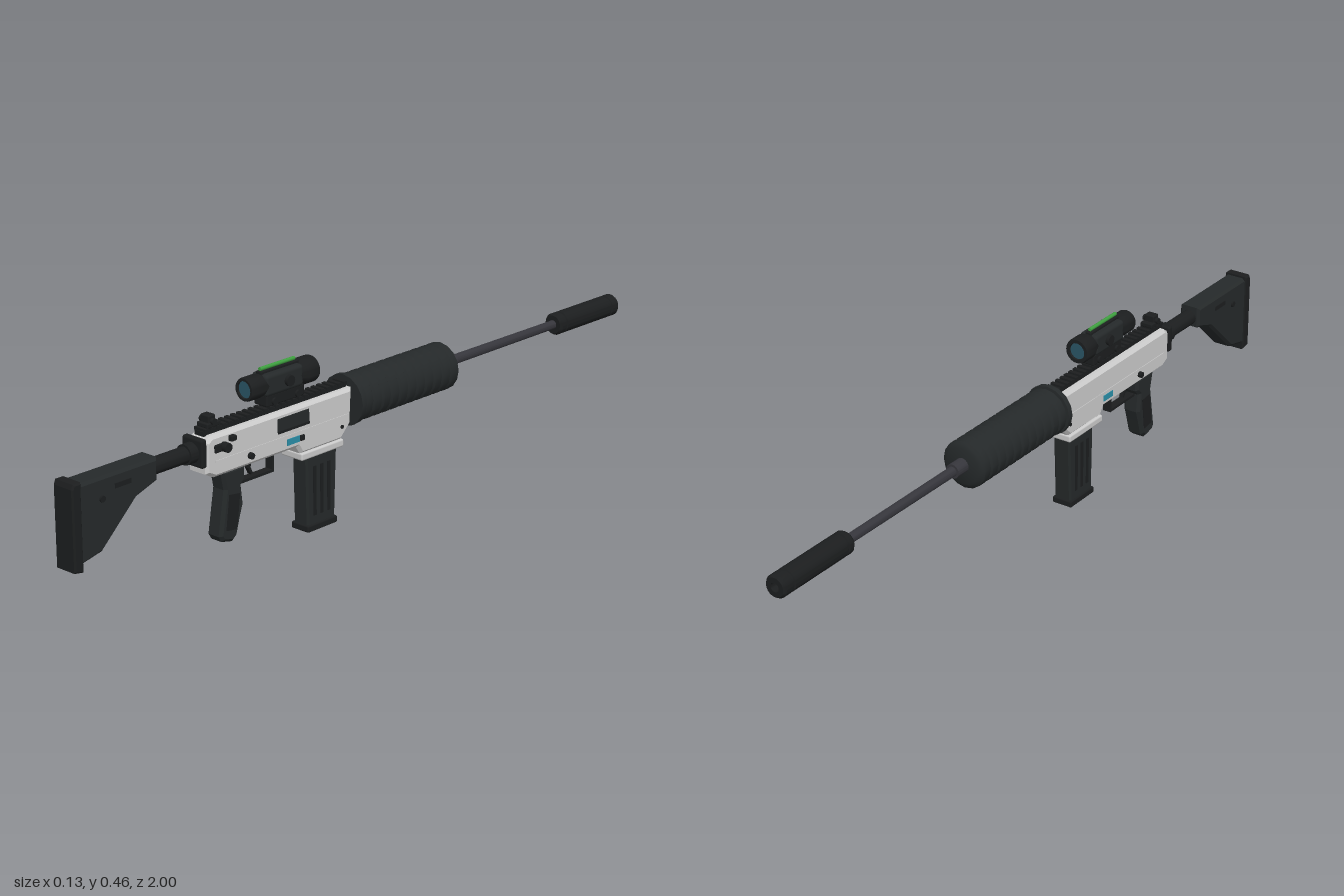
import * as THREE from 'three';
import { toCreasedNormals } from 'three/addons/utils/BufferGeometryUtils.js';
import { RoundedBoxGeometry } from 'three/addons/geometries/RoundedBoxGeometry.js';

const mat = (color) => new THREE.MeshStandardMaterial({ color });
const black = mat(0x1c1e1f), dark = mat(0x25292a), steel = mat(0x36363c);
const grey = mat(0xcccccc), blue = mat(0x2a5566), cyan = mat(0x2a8fa8), green = mat(0x3fa040);
const AXIS = 0.305; // height of the bore

export function createModel() {
  const model = new THREE.Group();

  const add = (name, geometry, material, x = 0, y = 0, z = 0, parent = model) => {
    const mesh = new THREE.Mesh(geometry, material);
    mesh.name = name;
    mesh.position.set(x, y, z);
    parent.add(mesh);
    return mesh;
  };
  const box = (name, w, h, d, material, x, y, z, r = 0) => add(name,
    r ? new RoundedBoxGeometry(w, h, d, 2, r) : new THREE.BoxGeometry(w, h, d), material, x, y, z);

  // Side outline given as [z, y] points, extruded across x
  const slab = (name, points, width, bevel, material) => {
    const shape = new THREE.Shape(points.map(([z, y]) => new THREE.Vector2(z, y)));
    const geo = new THREE.ExtrudeGeometry(shape, {
      depth: width - 2 * bevel, bevelEnabled: bevel > 0, bevelThickness: bevel,
      bevelSize: bevel, bevelOffset: -bevel, bevelSegments: 1,
    });
    geo.translate(0, 0, bevel - width / 2).rotateY(-Math.PI / 2);
    return add(name, geo, material);
  };
  // Turned part along z, given as [radius, z] points from low z to high z
  const turned = (name, points, material, y = AXIS, sides = 20) => {
    const geo = new THREE.LatheGeometry(points.map(([r, z]) => new THREE.Vector2(r, z)), sides);
    geo.rotateX(Math.PI / 2);
    return add(name, toCreasedNormals(geo, 0.6), material, 0, y, 0);
  };
  // Round stub pointing sideways
  const pin = (name, r, length, material, x, y, z) =>
    add(name, new THREE.CylinderGeometry(r, r, length, 12).rotateZ(Math.PI / 2), material, x, y, z);

  // Stock with butt pad
  slab('stock', [[0.735, 0.337], [0.98, 0.337], [0.98, 0.14], [0.91, 0.155], [0.80, 0.258],
    [0.735, 0.28]], 0.06, 0.007, dark);
  slab('buttPad', [[0.972, 0.342], [0.995, 0.342], [1.0, 0.33], [1.0, 0.128], [0.972, 0.123]],
    0.066, 0.004, black);
  for (const s of [-1, 1]) {
    box('stockSlot', 0.004, 0.012, 0.05, black, s * 0.03, 0.305, 0.845);
    pin('stockPin', 0.008, 0.008, black, s * 0.031, 0.285, 0.91);
  }
  turned('bufferTube', [[0, 0.59], [0.021, 0.59], [0.021, 0.74], [0, 0.74]], black);
  turned('bufferCollar', [[0, 0.60], [0.026, 0.60], [0.026, 0.625], [0, 0.625]], black);
  box('endPlate', 0.068, 0.072, 0.018, black, 0, 0.305, 0.59, 0.006);

  // Receiver with magazine well
  slab('receiver', [[0.08, 0.342], [0.565, 0.342], [0.582, 0.33], [0.582, 0.25], [0.555, 0.236],
    [0.275, 0.236], [0.262, 0.215], [0.12, 0.215], [0.085, 0.25]], 0.066, 0.008, grey);
  box('magazineWell', 0.072, 0.02, 0.15, grey, 0, 0.208, 0.19, 0.005);
  for (const s of [-1, 1]) {
    box('receiverSeam', 0.003, 0.004, 0.46, grey, s * 0.033, 0.277, 0.325);
    box('marker', 0.004, 0.016, 0.042, cyan, s * 0.033, 0.26, 0.292);
    pin('selector', 0.008, 0.014, black, s * 0.036, 0.262, 0.44);
    pin('receiverPin', 0.005, 0.005, black, s * 0.033, 0.25, 0.12);
  }
  box('ejectionPort', 0.005, 0.034, 0.108, dark, 0.033, 0.311, 0.292);
  box('portCover', 0.004, 0.006, 0.108, black, 0.036, 0.294, 0.292);
  box('magazineRelease', 0.008, 0.014, 0.014, black, 0.034, 0.26, 0.262, 0.002);
  box('sideLever', 0.008, 0.02, 0.04, black, 0.035, 0.309, 0.538, 0.003);
  pin('leverKnob', 0.012, 0.02, black, 0.042, 0.309, 0.528);
  box('forwardButton', 0.014, 0.014, 0.018, black, 0.039, 0.325, 0.503, 0.003);

  // Toothed top rail
  box('rail', 0.03, 0.012, 0.49, black, 0, 0.346, 0.33);
  for (let i = 0; i < 25; i++) box('railTooth', 0.038, 0.008, 0.011, black, 0, 0.354, 0.092 + i * 0.0198);

  // Folded rear sight
  box('rearSightBase', 0.036, 0.012, 0.045, black, 0, 0.363, 0.542, 0.003);
  box('rearSight', 0.03, 0.022, 0.024, black, 0, 0.376, 0.545, 0.004);
  pin('rearSightKnob', 0.008, 0.046, black, 0, 0.372, 0.545);

  // Ridged handguard
  const ridges = [[0, -0.295], [0.048, -0.295]];
  const count = 11, step = 0.355 / count;
  for (let i = 0; i < count; i++) {
    const z = -0.29 + i * step;
    ridges.push([0.058, z], [0.063, z + 0.005], [0.063, z + step - 0.006], [0.058, z + step - 0.001]);
  }
  ridges.push([0.067, 0.065], [0.067, 0.08], [0, 0.08]);
  turned('handguard', ridges, dark, 0.302, 16);

  // Barrel and muzzle tube
  turned('barrel', [[0, -0.76], [0.012, -0.76], [0.013, -0.335], [0.019, -0.335], [0.019, -0.29], [0, -0.29]], steel);
  turned('muzzleTube', [[0.012, -0.94], [0.012, -1.0], [0.025, -1.0], [0.03, -0.993], [0.03, -0.97],
    [0.027, -0.968], [0.027, -0.963], [0.03, -0.961], [0.03, -0.775], [0.027, -0.773], [0.027, -0.768],
    [0.03, -0.766], [0.03, -0.752], [0.025, -0.745], [0, -0.745]], black);
  add('muzzleBore', new THREE.CircleGeometry(0.012, 16).rotateY(Math.PI), black, 0, AXIS, -0.95);

  // Magazine
  slab('magazine', [[0.238, 0.205], [0.234, 0.012], [0.136, 0.012], [0.128, 0.205]], 0.05, 0.005, dark);
  box('magazineBase', 0.058, 0.018, 0.106, black, 0, 0.009, 0.185, 0.004);
  for (const s of [-1, 1]) for (const z of [0.16, 0.185, 0.21])
    box('magazineRib', 0.004, 0.13, 0.01, black, s * 0.025, 0.105, z);

  // Grip, trigger and guard
  slab('grip', [[0.525, 0.24], [0.515, 0.19], [0.534, 0.075], [0.525, 0.06], [0.49, 0.052], [0.475, 0.065],
    [0.462, 0.11], [0.452, 0.14], [0.458, 0.19], [0.445, 0.205], [0.445, 0.24]], 0.05, 0.008, dark);
  for (const s of [-1, 1]) {
    const panel = box('gripPanel', 0.004, 0.09, 0.035, black, s * 0.025, 0.13, 0.492);
    panel.rotation.x = -0.13;
  }
  box('guardBottom', 0.022, 0.007, 0.115, black, 0, 0.19, 0.395);
  box('guardFront', 0.022, 0.052, 0.007, black, 0, 0.213, 0.34);
  slab('trigger', [[0.418, 0.24], [0.406, 0.24], [0.412, 0.218], [0.404, 0.2], [0.41, 0.198], [0.42, 0.217]],
    0.012, 0, black);

  // Optic on its mount
  const Y = 0.415;
  box('opticMount', 0.044, 0.03, 0.13, black, 0, 0.376, 0.305, 0.004);
  for (const z of [0.265, 0.345]) pin('mountBolt', 0.009, 0.056, black, 0, 0.372, z);
  turned('opticTube', [[0.021, 0.205], [0.023, 0.195], [0.032, 0.195], [0.034, 0.2], [0.034, 0.235],
    [0.027, 0.25], [0.027, 0.37], [0.03, 0.385], [0.03, 0.42], [0.028, 0.425], [0.022, 0.425],
    [0.021, 0.415]], black, Y, 24);
  box('opticBody', 0.054, 0.056, 0.13, dark, 0, Y, 0.31, 0.01);
  for (const s of [-1, 1]) pin('opticDial', 0.014, 0.012, black, s * 0.03, Y, 0.3);
  add('frontLens', new THREE.CircleGeometry(0.0225, 24).rotateY(Math.PI), blue, 0, Y, 0.2);
  add('rearLens', new THREE.CircleGeometry(0.0225, 24), blue, 0, Y, 0.42);
  box('fiberBed', 0.018, 0.012, 0.13, black, 0, 0.444, 0.31, 0.003);
  add('fiberRod', new THREE.CylinderGeometry(0.005, 0.005, 0.118, 10).rotateX(Math.PI / 2), green, 0, 0.454, 0.312);

  return model;
}
